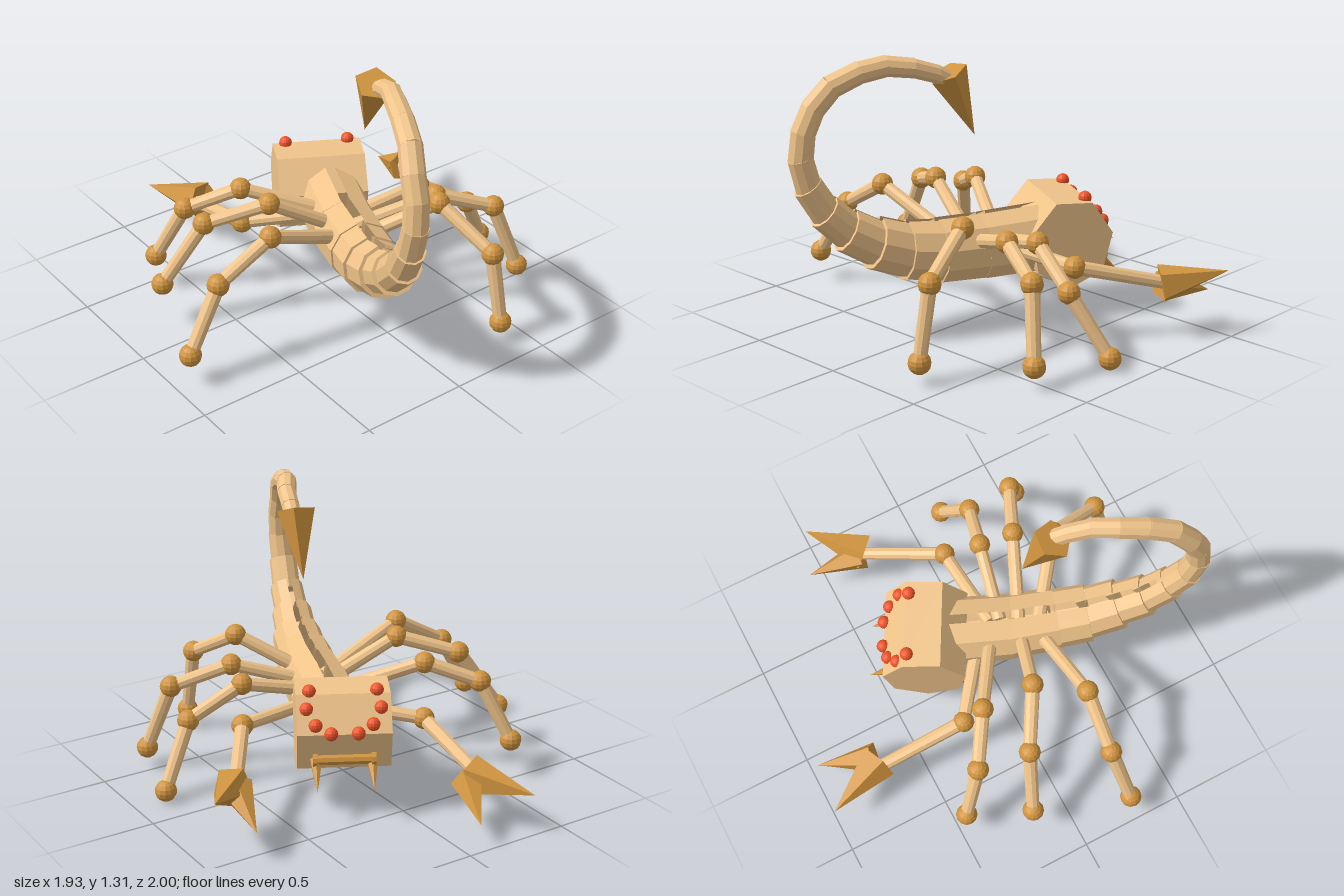
import * as THREE from 'three';

const V = (a) => new THREE.Vector3(...a);
const mat = (color) => new THREE.MeshStandardMaterial({ color, flatShading: true });

export function createModel() {
  const root = new THREE.Group();
  root.name = 'scorpion';
  const tan = mat(0xf0c48a), amber = mat(0xd0943f), red = mat(0xf0552a);
  const shell = mat(0xf0c48a);
  shell.side = THREE.DoubleSide;

  const add = (parent, name, geo, material) => {
    const m = new THREE.Mesh(geo, material);
    m.name = name;
    parent.add(m);
    return m;
  };
  // Cylinder or cone from point a to point b
  const rod = (parent, name, a, b, r0, r1, sides, material) => {
    const p = V(a), q = V(b), d = q.clone().sub(p);
    const m = add(parent, name, new THREE.CylinderGeometry(r1, r0, d.length(), sides), material);
    m.position.copy(p).lerp(q, 0.5);
    m.quaternion.setFromUnitVectors(V([0, 1, 0]), d.normalize());
    return m;
  };
  const ball = (parent, name, p, r, material) =>
    add(parent, name, new THREE.SphereGeometry(r, 12, 8), material).position.set(...p);

  // Body and tail: stepped, overlapping rings along a curled path, [x, y, z, radius]
  const path = [
    [0.14, 0.37, -0.12, 0.162], [0.04, 0.365, 0.12, 0.156], [-0.03, 0.375, 0.33, 0.143],
    [-0.085, 0.4, 0.48, 0.125], [-0.13, 0.455, 0.62, 0.103], [-0.175, 0.53, 0.74, 0.084],
    [-0.205, 0.63, 0.84, 0.07], [-0.23, 0.75, 0.91, 0.06], [-0.235, 0.88, 0.945, 0.056],
    [-0.225, 1.0, 0.935, 0.055], [-0.21, 1.1, 0.89, 0.054], [-0.17, 1.19, 0.82, 0.052],
    [-0.12, 1.24, 0.71, 0.05], [-0.07, 1.26, 0.6, 0.047], [-0.01, 1.245, 0.5, 0.044],
    [0.03, 1.21, 0.4, 0.042], [0.06, 1.16, 0.32, 0.04],
  ];
  const body = new THREE.Group();
  body.name = 'bodyAndTail';
  root.add(body);
  let up = V([0, 1, 0]);
  for (let i = 0; i < path.length - 1; i++) {
    const a = V(path[i].slice(0, 3)), b = V(path[i + 1].slice(0, 3)), r = path[i][3];
    const dir = b.clone().sub(a), len = dir.length();
    dir.normalize();
    const side = dir.clone().cross(up).normalize();
    up = side.clone().cross(dir);
    const slit = i < 6 ? 0.14 : 0; // narrow slit along the back of the body plates
    const geo = new THREE.CylinderGeometry(r * 0.97, r, len * 1.15, 10, 1, false, slit, 2 * Math.PI - 2 * slit);
    geo.applyMatrix4(new THREE.Matrix4().makeBasis(side, dir, up));
    add(body, i < 4 ? 'bodySegment' : 'tailSegment', geo, shell)
      .position.copy(a).lerp(b, 0.5);
  }
  rod(body, 'stinger', [0.035, 1.205, 0.335], [0.08, 0.91, 0.21], 0.093, 0, 5, amber);

  // Head: a seven-sided drum lying across the body; local x lateral, -z forward
  const head = new THREE.Group();
  head.name = 'head';
  head.position.set(0.167, 0.375, -0.249);
  head.rotation.y = -Math.atan2(0.48, 0.875);
  root.add(head);
  const drum = new THREE.CylinderGeometry(0.2, 0.2, 0.42, 7, 1, false, 0.274);
  drum.rotateZ(Math.PI / 2).scale(1, 1.07, 1);
  add(head, 'skull', drum, tan);

  // Eyes in an arc on the sloping face: [lateral, y, forward]
  for (const s of [-1, 1]) {
    for (const [x, y, f] of [[0.15, 0.198, 0.08], [0.165, 0.133, 0.128], [0.127, 0.074, 0.175], [0.06, 0.043, 0.2]]) {
      ball(head, 'eye', [s * x, y, -f], 0.031, red);
    }
    // Fangs at the ends of the mouth bar
    rod(head, 'fang', [s * 0.125, -0.09, -0.14], [s * 0.125, -0.2, -0.275], 0.034, 0, 6, amber);
    rod(head, 'mouthEnd', [s * 0.12, -0.095, -0.168], [s * 0.14, -0.095, -0.168], 0.034, 0.034, 10, amber);
  }
  rod(head, 'mouthBar', [-0.13, -0.095, -0.168], [0.13, -0.095, -0.168], 0.024, 0.024, 8, amber);

  // Legs: hip, two knees and foot
  const legs = [
    [[0.05, 0.4, 0.04], [-0.32, 0.55, -0.2], [-0.54, 0.455, -0.34], [-0.64, 0.175, -0.455]],
    [[0.0, 0.4, 0.16], [-0.335, 0.595, 0.05], [-0.59, 0.51, -0.1], [-0.777, 0.22, -0.175]],
    [[-0.04, 0.4, 0.23], [-0.477, 0.58, 0.26], [-0.745, 0.43, 0.245], [-0.92, 0.15, 0.275]],
    [[0.08, 0.4, 0.1], [0.434, 0.48, 0.18], [0.68, 0.33, 0.25], [0.847, 0.053, 0.17]],
    [[0.04, 0.4, 0.18], [0.4, 0.515, 0.34], [0.657, 0.42, 0.46], [0.75, 0.1, 0.545]],
    [[0.0, 0.4, 0.27], [0.286, 0.59, 0.495], [0.369, 0.43, 0.775], [0.375, 0.1, 0.845]],
  ];
  for (const pts of legs) {
    const leg = new THREE.Group();
    leg.name = 'leg';
    root.add(leg);
    for (let i = 0; i < 3; i++) {
      rod(leg, 'legSegment', pts[i], pts[i + 1], 0.034, 0.031, 10, tan);
      ball(leg, i < 2 ? 'knee' : 'foot', pts[i + 1], 0.051, amber);
    }
  }

  // Arms: shoulder, elbow, wrist, then two pointed claw blades [base, tip, radius]
  const arms = [
    { shoulder: [0.06, 0.37, -0.02], elbow: [-0.267, 0.31, -0.275], wrist: [-0.25, 0.2, -0.73],
      blades: [[[-0.22, 0.2, -0.71], [-0.344, 0.195, -1.0], 0.098], [[-0.19, 0.19, -0.72], [-0.08, 0.11, -0.968], 0.075]] },
    { shoulder: [0.1, 0.37, 0.06], elbow: [0.52, 0.35, 0.03], wrist: [0.75, 0.25, -0.31],
      blades: [[[0.755, 0.245, -0.295], [0.963, 0.305, -0.513], 0.092], [[0.75, 0.24, -0.315], [0.804, 0.157, -0.582], 0.078]] },
  ];
  for (const { shoulder, elbow, wrist, blades } of arms) {
    const arm = new THREE.Group();
    arm.name = 'arm';
    root.add(arm);
    rod(arm, 'upperArm', shoulder, elbow, 0.034, 0.031, 10, tan);
    ball(arm, 'elbow', elbow, 0.051, amber);
    rod(arm, 'forearm', elbow, wrist, 0.034, 0.031, 10, tan);
    for (const [base, tip, r] of blades) rod(arm, 'clawBlade', base, tip, r, 0, 5, amber);
  }
  return root;
}
